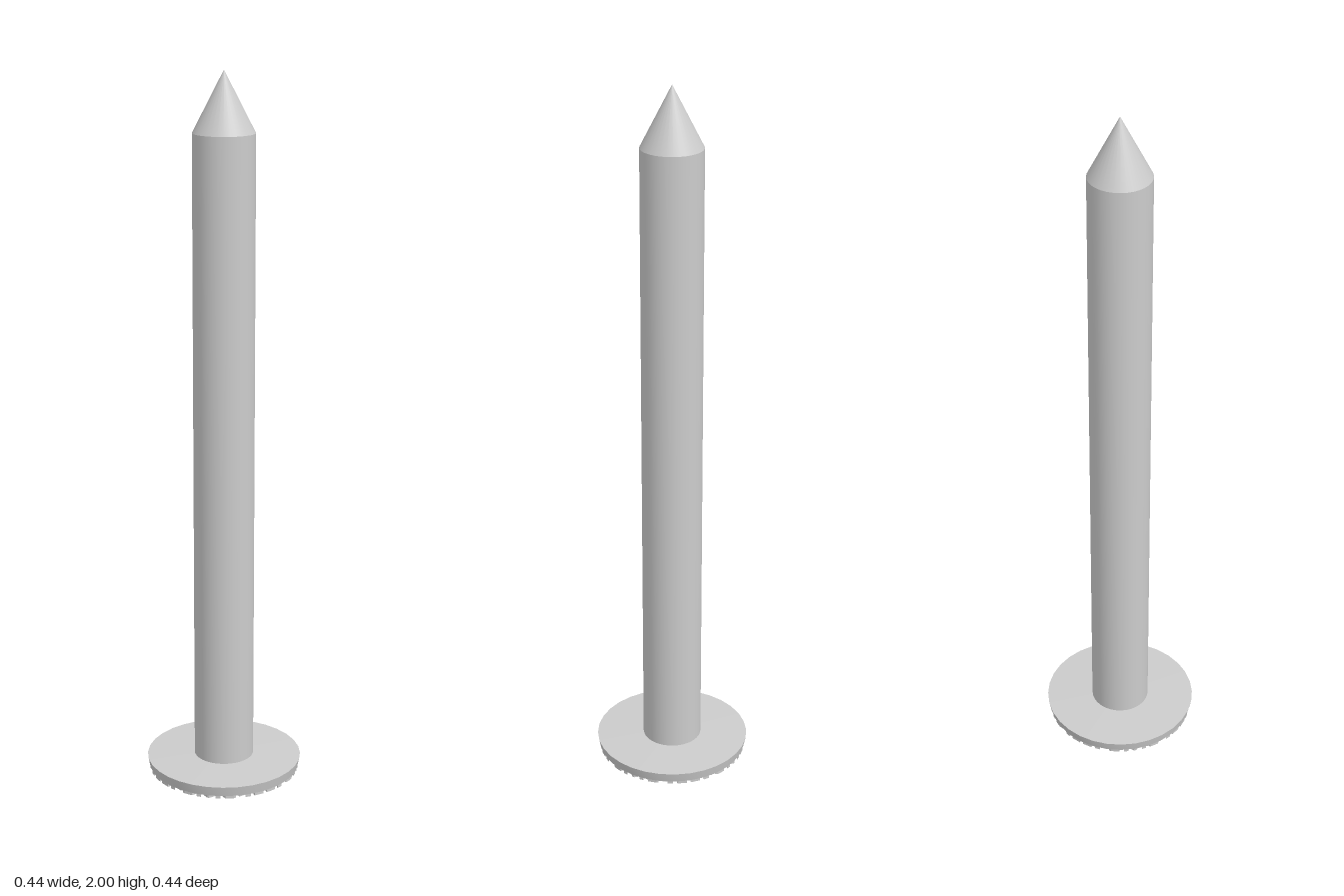
import * as THREE from 'three';
import { mergeGeometries, toCreasedNormals } from 'three/addons/utils/BufferGeometryUtils.js';

const SIDES = 32;
const HEAD_R = 0.222;   // rim radius
const FACE_R = 0.215;   // radius of the checkered face
const GROOVE = 0.008;   // groove depth
const PITCH = 0.04;
const GAP = 0.012;

// Revolve [radius, height] pairs, keeping hard edges sharp
function revolve(name, points, material) {
  const profile = points.map(([r, y]) => new THREE.Vector2(r, y));
  const geometry = toCreasedNormals(new THREE.LatheGeometry(profile, SIDES), 0.4);
  const mesh = new THREE.Mesh(geometry, material);
  mesh.name = name;
  return mesh;
}

// One raised square of the checkering, trimmed to the round face
function stud(i, j, sx, sz) {
  const x0 = i * PITCH + GAP / 2, z0 = j * PITCH + GAP / 2;
  const reach = (v) => Math.sqrt(Math.max(0, FACE_R ** 2 - v ** 2));
  const xa = Math.min(x0 + PITCH - GAP, reach(z0));
  const zb = Math.min(z0 + PITCH - GAP, reach(x0));
  if (xa - x0 < 0.003 || zb - z0 < 0.003) return null;
  const corners = [
    [x0, z0], [xa, z0], [xa, Math.min(zb, reach(xa))],
    [Math.min(xa, reach(zb)), zb], [x0, zb],
  ].filter((p, k, all) => k === 0 ||
    Math.hypot(p[0] - all[k - 1][0], p[1] - all[k - 1][1]) > 1e-4);
  const shape = new THREE.Shape(corners.map(([x, z]) => new THREE.Vector2(x * sx, z * sz)));
  return new THREE.ExtrudeGeometry(shape, { depth: GROOVE, bevelEnabled: false })
    .rotateX(Math.PI / 2)
    .translate(0, GROOVE, 0);
}

export function createModel() {
  const model = new THREE.Group();
  model.name = 'nail';
  const steel = new THREE.MeshStandardMaterial({ color: 0xcccccc });

  // Flat head with a slightly flared rim, and a gentle rise toward the shank
  model.add(revolve('head', [
    [0, GROOVE], [FACE_R + 0.001, GROOVE], [HEAD_R, 0.037], [0.08, 0.042],
  ], steel));

  // Shank and point
  model.add(revolve('shank', [[0.085, 0.038], [0.085, 1.835]], steel));
  model.add(revolve('point', [[0.085, 1.835], [0, 2]], steel));

  // Checkered striking face, mirrored into four quadrants
  const studs = [];
  const count = Math.ceil(FACE_R / PITCH);
  for (const sx of [-1, 1]) {
    for (const sz of [-1, 1]) {
      for (let i = 0; i < count; i++) {
        for (let j = 0; j < count; j++) {
          const geometry = stud(i, j, sx, sz);
          if (geometry) studs.push(geometry);
        }
      }
    }
  }
  const checkering = new THREE.Mesh(mergeGeometries(studs), steel);
  checkering.name = 'checkering';
  model.add(checkering);

  return model;
}
